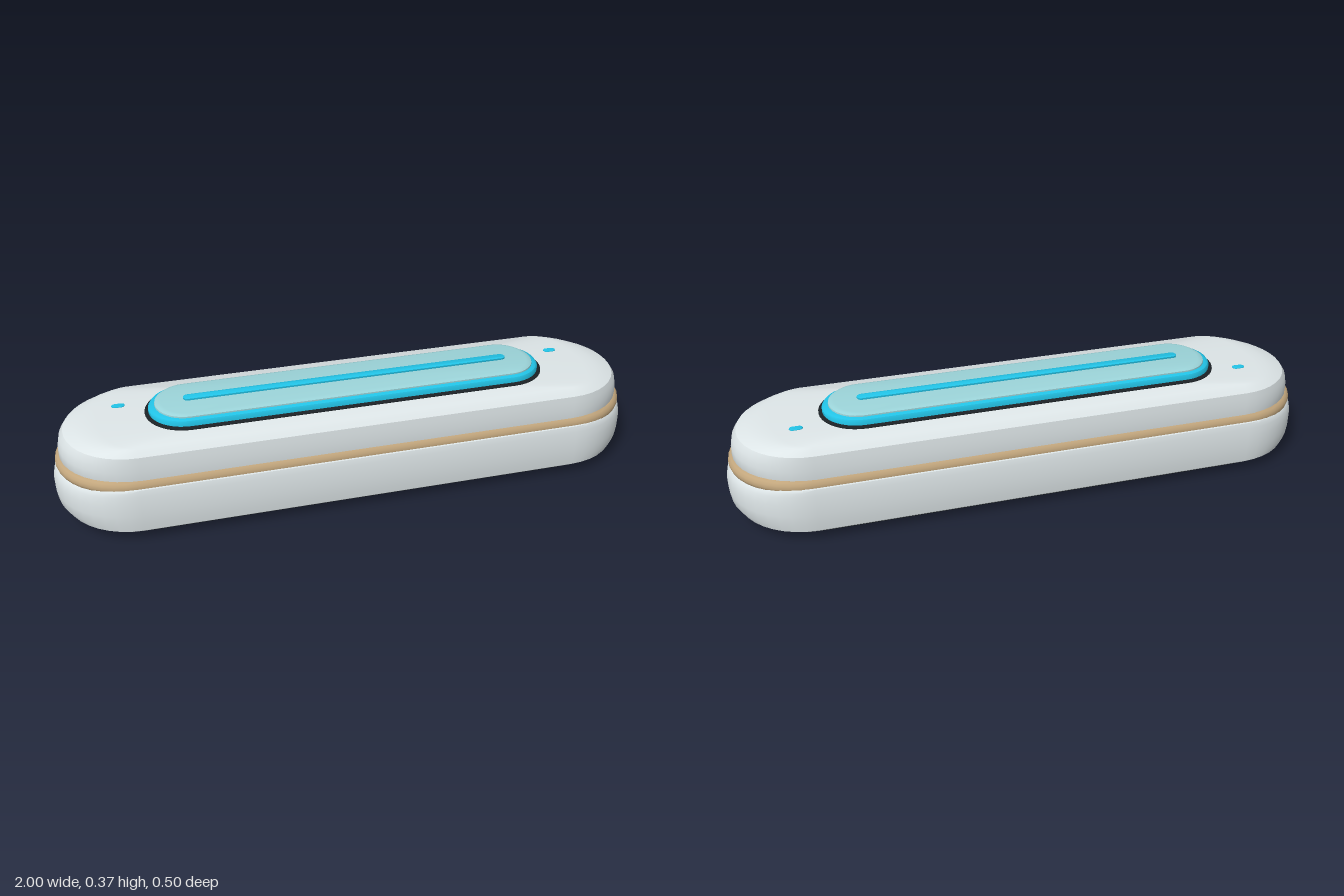
import * as THREE from 'three';
import { toCreasedNormals } from 'three/addons/utils/BufferGeometryUtils.js';

// Closed loft of stadium outlines. Each layer is [y, half length, half depth];
// 'straight' is the half length of the straight flanks.
function stadiumLoft(layers, straight, segments = 20, crease = 0.6) {
  const rings = layers.map(([y, a, b]) => {
    const ring = [];
    for (const side of [1, -1]) {
      for (let i = 0; i <= segments; i++) {
        const t = -Math.PI / 2 + (Math.PI * i) / segments;
        ring.push([side * (straight + (a - straight) * Math.cos(t)), y, side * b * Math.sin(t)]);
      }
    }
    return ring;
  });
  const pos = [];
  const tri = (p, q, r) => pos.push(...p, ...q, ...r);
  const n = rings[0].length;
  const last = rings.length - 1;
  const bottom = [0, layers[0][0], 0];
  const top = [0, layers[last][0], 0];
  for (let i = 0; i < n; i++) {
    const j = (i + 1) % n;
    for (let k = 0; k < last; k++) {
      const p = rings[k];
      const q = rings[k + 1];
      tri(p[i], q[i], p[j]);
      tri(p[j], q[i], q[j]);
    }
    tri(bottom, rings[0][i], rings[0][j]);
    tri(top, rings[last][j], rings[last][i]);
  }
  const geometry = new THREE.BufferGeometry();
  geometry.setAttribute('position', new THREE.Float32BufferAttribute(pos, 3));
  return toCreasedNormals(geometry, crease);
}

export function createModel() {
  const model = new THREE.Group();
  const material = (color) => new THREE.MeshStandardMaterial({ color });
  const shell = material(0xdde5e7);
  const dark = material(0x1b2125);
  const tan = material(0xc2a67d);
  const cyan = material(0x22c3e6);
  const pale = material(0x9bd3d8);

  const add = (name, geometry, mat) => {
    const mesh = new THREE.Mesh(geometry, mat);
    mesh.name = name;
    model.add(mesh);
    return mesh;
  };

  // Dark foot under the body
  add('basePad', stadiumLoft([
    [0, 0.87, 0.19], [0.012, 0.92, 0.21], [0.027, 0.944, 0.215], [0.035, 0.93, 0.21],
  ], 0.7), dark);

  // Lower shell with rounded edges
  add('lowerShell', stadiumLoft([
    [0.016, 0.905, 0.213], [0.025, 0.94, 0.226], [0.04, 0.978, 0.245], [0.065, 0.995, 0.248],
    [0.1, 1, 0.25], [0.14, 1, 0.249], [0.17, 0.993, 0.246], [0.183, 0.982, 0.244],
    [0.191, 0.968, 0.242], [0.198, 0.945, 0.234],
  ], 0.74), shell);

  // Band between the two shells
  add('seamBand', stadiumLoft([
    [0.178, 0.978, 0.232], [0.185, 0.986, 0.237], [0.195, 0.989, 0.239],
    [0.205, 0.987, 0.237], [0.214, 0.98, 0.232], [0.219, 0.97, 0.226],
  ], 0.74), tan);

  // Upper shell, flat on top with softer ends
  add('upperShell', stadiumLoft([
    [0.2, 0.965, 0.226], [0.22, 0.974, 0.228], [0.25, 0.973, 0.229], [0.28, 0.966, 0.227],
    [0.3, 0.952, 0.225], [0.311, 0.92, 0.214], [0.318, 0.885, 0.206], [0.322, 0.842, 0.2],
  ], 0.73), shell);

  // Raised control panel
  add('panelGasket', stadiumLoft([[0.315, 0.687, 0.138], [0.325, 0.687, 0.138], [0.327, 0.682, 0.133]], 0.55), dark);
  add('panelFrame', stadiumLoft([
    [0.32, 0.675, 0.123], [0.338, 0.675, 0.123], [0.345, 0.67, 0.12], [0.349, 0.66, 0.113],
  ], 0.55), cyan);
  add('panelCover', stadiumLoft([
    [0.345, 0.655, 0.108], [0.354, 0.653, 0.108], [0.358, 0.645, 0.104], [0.36, 0.633, 0.095],
  ], 0.55), pale);
  add('lightBar', stadiumLoft([
    [0.355, 0.557, 0.014], [0.361, 0.56, 0.016], [0.366, 0.56, 0.016], [0.368, 0.555, 0.012],
  ], 0.545, 6), cyan);

  // Small indicator on each side of the panel
  for (const side of [1, -1]) {
    const lamp = add(side > 0 ? 'leftIndicator' : 'rightIndicator',
      stadiumLoft([[0.318, 0.022, 0.012], [0.324, 0.022, 0.012], [0.326, 0.016, 0.008]], 0.01, 6), cyan);
    lamp.position.set(side * 0.767, 0, -0.075);
  }
  return model;
}
